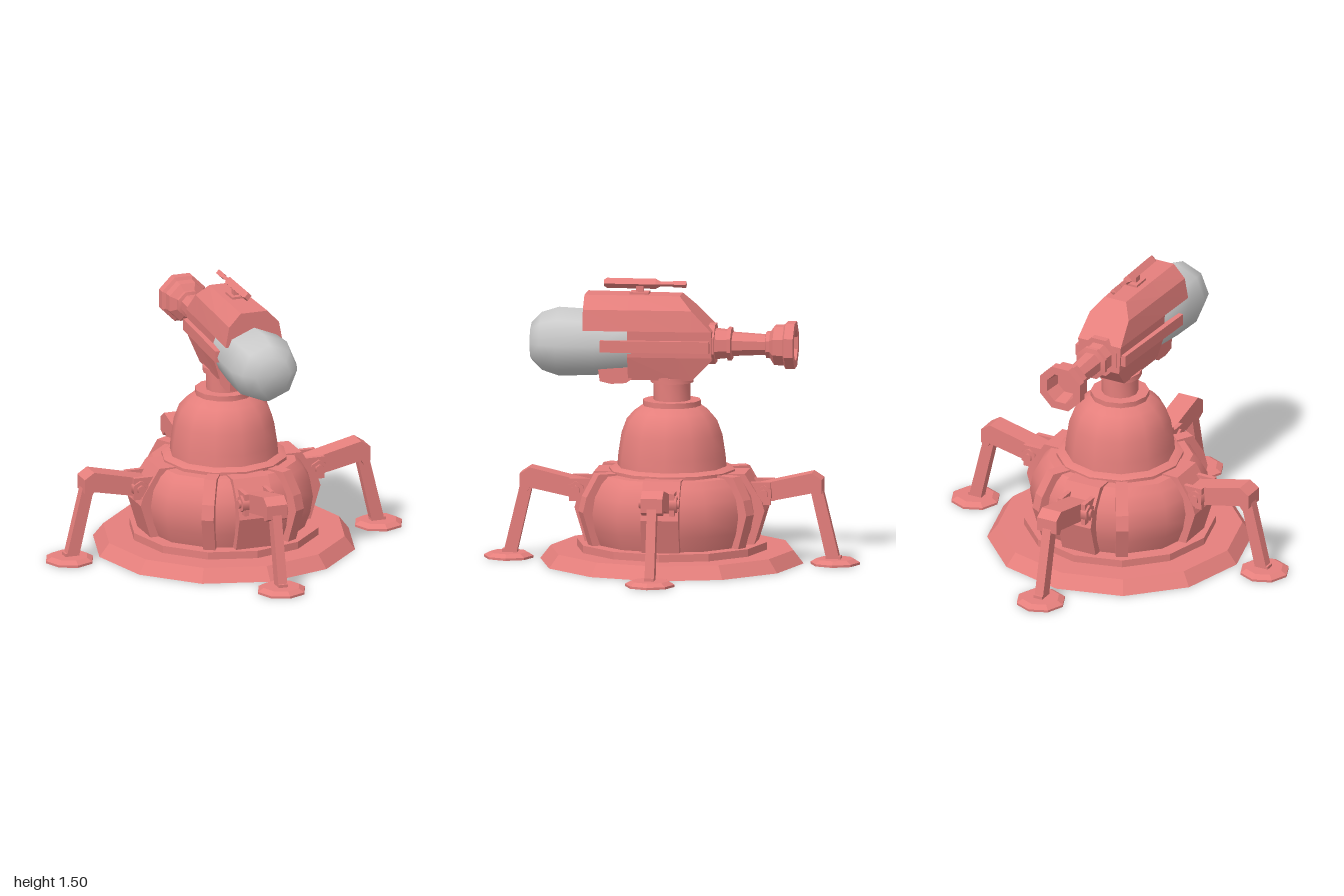
import * as THREE from 'three';
import { toCreasedNormals } from 'three/addons/utils/BufferGeometryUtils.js';

const red = new THREE.MeshStandardMaterial({ color: 0xe57f7c });
const grey = new THREE.MeshStandardMaterial({ color: 0xcccccc });

function add(parent, name, geometry, material = red) {
  const mesh = new THREE.Mesh(geometry, material);
  mesh.name = name;
  parent.add(mesh);
  return mesh;
}

// Turned part from [radius, height] pairs; corners sharper than crease stay hard
function turned(points, sides, crease) {
  const g = new THREE.LatheGeometry(points.map(p => new THREE.Vector2(...p)), sides);
  return toCreasedNormals(g, THREE.MathUtils.degToRad(crease));
}

// Flat plate: outline in x-y, thickness centred on z
function plate(outline, thickness) {
  const shape = new THREE.Shape(outline.map(p => new THREE.Vector2(...p)));
  return new THREE.ExtrudeGeometry(shape, { depth: thickness, bevelEnabled: false })
    .translate(0, 0, -thickness / 2);
}

function box(w, h, d, x, y, z) {
  return new THREE.BoxGeometry(w, h, d).translate(x, y, z);
}

// Skin over sections ordered from back to front, each a counterclockwise ring
function loft(rings) {
  const n = rings[0].length, index = [];
  for (let s = 0; s < rings.length - 1; s++) {
    for (let i = 0; i < n; i++) {
      const j = (i + 1) % n, a = s * n, b = a + n;
      index.push(a + i, a + j, b + j, a + i, b + j, b + i);
    }
  }
  const last = (rings.length - 1) * n;
  for (let i = 1; i < n - 1; i++) index.push(0, i + 1, i, last, last + i, last + i + 1);
  const g = new THREE.BufferGeometry();
  g.setAttribute('position', new THREE.Float32BufferAttribute(rings.flat(2), 3));
  g.setIndex(index);
  const flat = g.toNonIndexed();
  flat.computeVertexNormals();
  return flat;
}

// Half width of the gun housing at height y, narrowing toward the back
const widths = [[0.975, 0.11], [1.1, 0.15], [1.24, 0.16], [1.35, 0.14], [1.42, 0.075]];
function halfWidth(y, z) {
  let i = 0;
  while (i < widths.length - 2 && y > widths[i + 1][0]) i++;
  const [y0, w0] = widths[i], [y1, w1] = widths[i + 1];
  const taper = THREE.MathUtils.mapLinear(z, -0.225, 0.455, 0.8, 1);
  return THREE.MathUtils.lerp(w0, w1, (y - y0) / (y1 - y0)) * taper;
}

function housingRing(z, bottom, top) {
  const side = widths.map(([y]) => {
    const h = Math.min(top, Math.max(bottom, y));
    return [halfWidth(h, z), h, z];
  });
  return [...side, ...side.map(([x, y]) => [-x, y, z]).reverse()];
}

function createBase(root) {
  add(root, 'basePlate', turned([[0, 0], [0.7, 0], [0.645, 0.07], [0, 0.07]], 12, 15));
  add(root, 'baseStep', turned([[0.505, 0.07], [0.505, 0.11], [0, 0.11]], 12, 15));
  add(root, 'drum', turned([[0.43, 0.11], [0.46, 0.19], [0.475, 0.28], [0.46, 0.37],
    [0.42, 0.44], [0.385, 0.475], [0.3, 0.48]], 12, 40));
  add(root, 'drumRing', turned([[0.335, 0.47], [0.335, 0.495], [0.3, 0.51], [0.2, 0.51]], 12, 35));
  add(root, 'dome', turned([[0.29, 0.51], [0.285, 0.57], [0.268, 0.68], [0.24, 0.755],
    [0.2, 0.8], [0.15, 0.835], [0, 0.835]], 12, 40));
  add(root, 'collar', turned([[0.155, 0.825], [0.155, 0.86], [0, 0.86]], 12, 35));
  add(root, 'neck', turned([[0.097, 0.86], [0.097, 0.955], [0.115, 0.955], [0.115, 0.985], [0, 0.985]], 12, 35));

  // Curved ribs between the legs
  const rib = plate([[0.3, 0.11], [0.465, 0.11], [0.52, 0.29], [0.5, 0.37], [0.43, 0.488], [0.3, 0.488]], 0.065);
  for (const deg of [60, 120, 240, 300]) {
    add(root, 'drumRib', rib).rotation.y = THREE.MathUtils.degToRad(deg);
  }
}

function createLeg() {
  const leg = new THREE.Group();
  leg.name = 'leg';
  add(leg, 'legPanel', plate([[0.3, 0.11], [0.45, 0.11], [0.505, 0.29], [0.49, 0.34],
    [0.4, 0.485], [0.3, 0.485]], 0.2));
  add(leg, 'upperArm', plate([[0.45, 0.32], [0.75, 0.383], [0.765, 0.36], [0.803, 0.38],
    [0.803, 0.455], [0.75, 0.49], [0.45, 0.42]], 0.115));
  add(leg, 'lowerLeg', plate([[0.74, 0.39], [0.825, 0.02], [0.895, 0.02], [0.803, 0.4]], 0.05));
  // Hinge: two cheeks and a hexagonal bolt
  for (const s of [-1, 1]) add(leg, 'hingeCheek', box(0.11, 0.12, 0.025, 0.48, 0.38, s * 0.07));
  add(leg, 'hingeBolt', new THREE.CylinderGeometry(0.046, 0.046, 0.19, 6).toNonIndexed()
    .rotateX(Math.PI / 2).translate(0.5, 0.38, 0));
  add(leg, 'hingePin', new THREE.CylinderGeometry(0.024, 0.024, 0.215, 6)
    .rotateX(Math.PI / 2).translate(0.5, 0.38, 0));
  // Foot with a small socket underneath
  const foot = turned([[0, 0.012], [0.025, 0.012], [0.025, 0], [0.132, 0], [0.132, 0.012],
    [0.1, 0.03], [0, 0.03]], 8, 20);
  add(leg, 'foot', foot.translate(0.868, 0, 0));
  add(leg, 'ankle', box(0.08, 0.02, 0.05, 0.86, 0.036, 0));
  return leg;
}

function createGun() {
  const gun = new THREE.Group();
  gun.name = 'gun';
  add(gun, 'housing', loft([housingRing(-0.225, 1.085, 1.24), housingRing(-0.118, 0.975, 1.35),
    housingRing(-0.05, 0.975, 1.42), housingRing(0.22, 0.975, 1.42)]));
  add(gun, 'hood', loft([housingRing(0.22, 1.24, 1.42), housingRing(0.455, 1.24, 1.42)]));
  // Side rails, slightly closer together at the back
  for (const s of [-1, 1]) {
    const ring = (z, x) => {
      const [a, b] = s > 0 ? [x - 0.05, x] : [-x, 0.05 - x];
      return [[a, 1.13, z], [b, 1.13, z], [b, 1.192, z], [a, 1.192, z]];
    };
    add(gun, 'sideRail', loft([ring(-0.215, 0.15), ring(0.36, 0.182)]));
  }
  add(gun, 'lowerLip', plate([[-0.38, 1.035], [-0.37, 0.965], [-0.31, 0.952], [-0.23, 0.958],
    [-0.2, 0.98], [-0.2, 1.04]], 0.21).rotateY(Math.PI / 2));

  const tank = turned([[0, 0.2], [0.155, 0.2], [0.175, 0.4], [0.184, 0.6], [0.155, 0.69],
    [0.1, 0.745], [0, 0.745]], 8, 60);
  add(gun, 'tank', tank.rotateX(Math.PI / 2).translate(0, 1.157, 0), grey);

  // Barrel with a hollow flared muzzle, flat side up
  const barrel = turned([[0, 0.2], [0.112, 0.2], [0.112, 0.235], [0.085, 0.235], [0.078, 0.3],
    [0.092, 0.3], [0.092, 0.32], [0.066, 0.325], [0.056, 0.5], [0.074, 0.505], [0.074, 0.525],
    [0.11, 0.548], [0.112, 0.6], [0.13, 0.61], [0.13, 0.658], [0.085, 0.658], [0.07, 0.56],
    [0, 0.56]], 8, 15);
  add(gun, 'barrel', barrel.rotateY(Math.PI / 8).rotateX(-Math.PI / 2).translate(0, 1.163, 0));

  // Top handle
  add(gun, 'handleBase', box(0.07, 0.014, 0.1, 0, 1.425, 0.17));
  add(gun, 'handlePost', box(0.03, 0.05, 0.04, 0, 1.45, 0.17));
  const grip = turned([[0, -0.08], [0.018, -0.075], [0.018, -0.01], [0.013, 0], [0.013, 0.06],
    [0.027, 0.085], [0.027, 0.345], [0.018, 0.36], [0, 0.36]], 4, 15);
  add(gun, 'handleGrip', grip.rotateX(Math.PI / 2).translate(0, 1.474, 0));
  return gun;
}

export function createModel() {
  const root = new THREE.Group();
  root.name = 'turret';
  createBase(root);
  for (let i = 0; i < 4; i++) {
    const leg = createLeg();
    leg.rotation.y = i * Math.PI / 2;
    root.add(leg);
  }
  root.add(createGun());
  return root;
}
